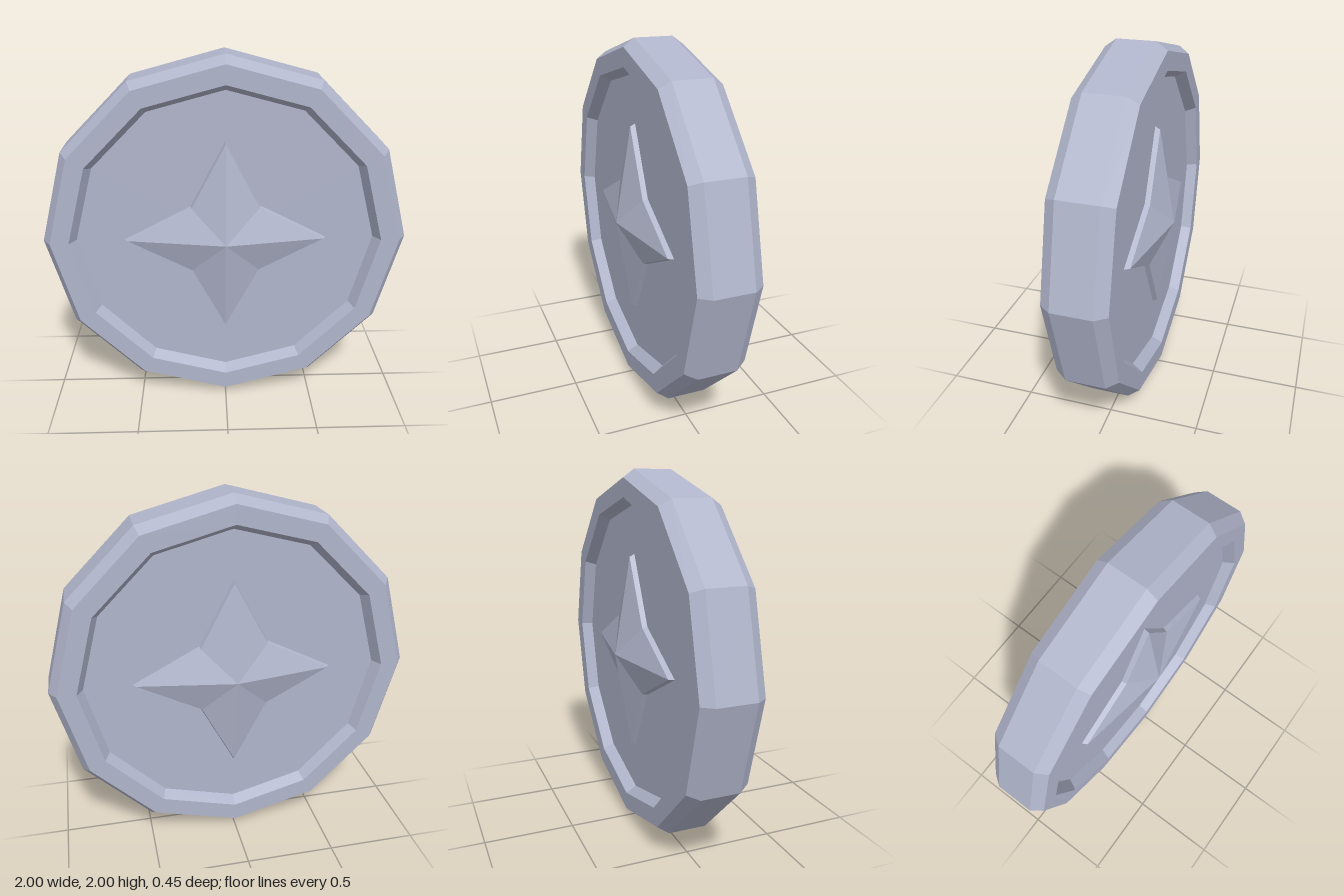
import * as THREE from 'three';

const metal = new THREE.MeshStandardMaterial({ color: 0xb0b5cb });
metal.name = 'blue grey metal';
metal.flatShading = true;

// Four-pointed outline, counter-clockwise seen from +z
function starRing(tip, valley, z) {
  return Array.from({ length: 8 }, (_, i) => {
    const r = i % 2 ? valley * Math.SQRT2 : tip;
    const a = (i * Math.PI) / 4;
    return new THREE.Vector3(r * Math.cos(a), r * Math.sin(a), z);
  });
}

// Faceted star: low flared sides and a raised peak
function starGeometry() {
  const base = starRing(0.555, 0.19, 0.105);
  const rim = starRing(0.54, 0.185, 0.133);
  const peak = new THREE.Vector3(0, 0, 0.223);
  const points = [];
  for (let i = 0; i < 8; i++) {
    const j = (i + 1) % 8;
    points.push(base[i], base[j], rim[j], base[i], rim[j], rim[i]);
    points.push(rim[i], rim[j], peak);
  }
  const geometry = new THREE.BufferGeometry().setFromPoints(points);
  geometry.computeVertexNormals();
  return geometry;
}

export function createModel() {
  const model = new THREE.Group();
  model.name = 'coin';

  // Twelve-sided disc with bevelled rim and recessed faces
  const half = [[0, 0.105], [0.82, 0.105], [0.855, 0.165], [0.957, 0.165], [1, 0.105]];
  const profile = [
    ...half.map(([r, h]) => new THREE.Vector2(r, -h)),
    ...half.slice().reverse().map(([r, h]) => new THREE.Vector2(r, h)),
  ];
  const disc = new THREE.Mesh(new THREE.LatheGeometry(profile, 12).rotateX(Math.PI / 2), metal);
  disc.name = 'disc';
  disc.position.y = 1;
  model.add(disc);

  // Matching stars on both faces
  const geometry = starGeometry();
  for (const [name, turn] of [['frontStar', 0], ['backStar', Math.PI]]) {
    const star = new THREE.Mesh(geometry, metal);
    star.name = name;
    star.position.y = 1;
    star.rotation.y = turn;
    model.add(star);
  }
  return model;
}
